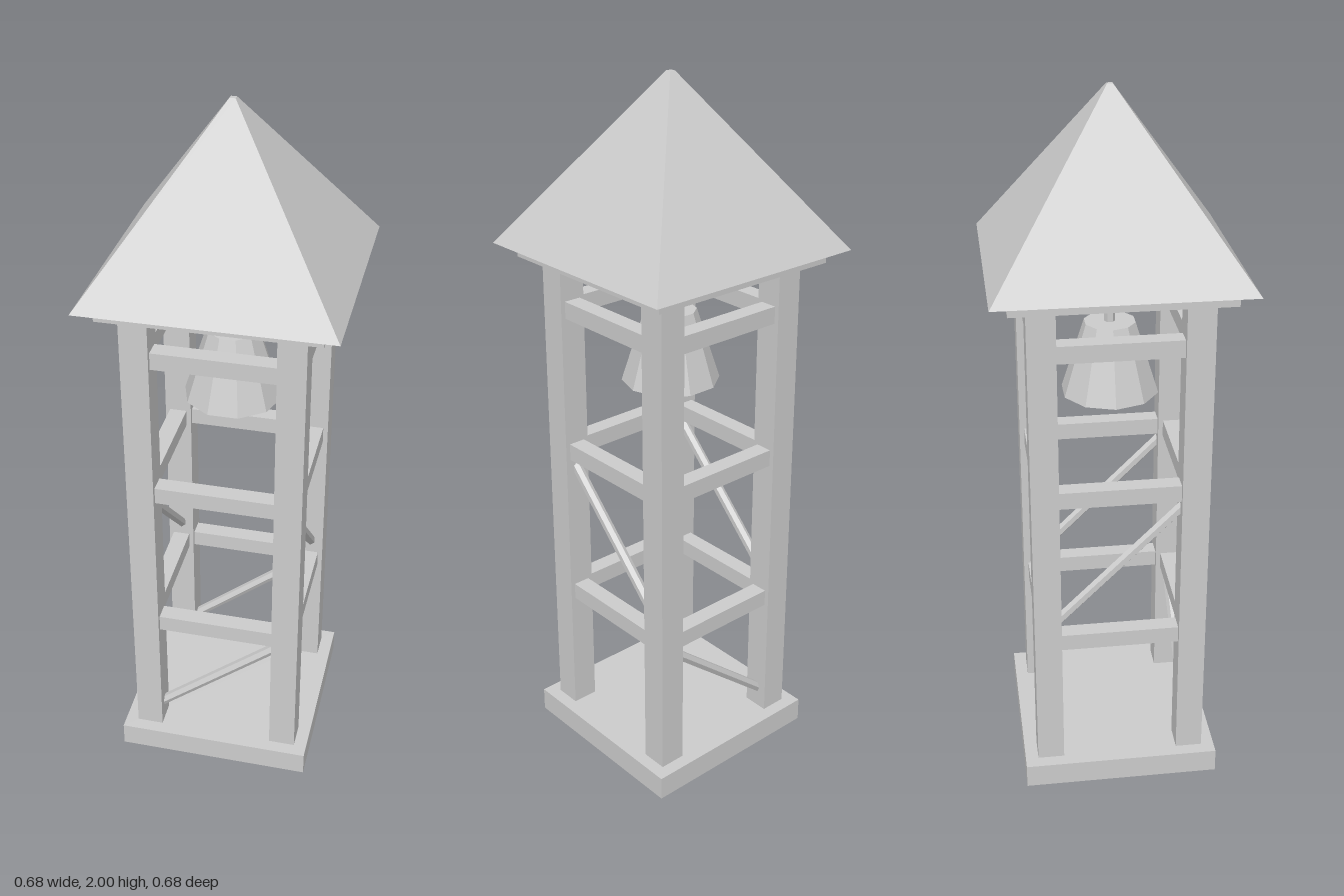
import * as THREE from 'three';

export function createModel() {
  const model = new THREE.Group();
  model.name = 'bellTower';
  const grey = new THREE.MeshStandardMaterial({ color: 0xcccccc });
  grey.name = 'plain grey';
  grey.flatShading = true;

  const add = (name, geometry, x = 0, y = 0, z = 0) => {
    const mesh = new THREE.Mesh(geometry, grey);
    mesh.name = name;
    mesh.position.set(x, y, z);
    model.add(mesh);
    return mesh;
  };
  const box = (name, w, h, d, x, y, z) => add(name, new THREE.BoxGeometry(w, h, d), x, y, z);

  // six-sided bar between two points
  const brace = (name, a, b) => {
    const dir = b.clone().sub(a);
    const mesh = add(name, new THREE.CylinderGeometry(0.015, 0.015, dir.length(), 6));
    mesh.position.copy(a).add(b).multiplyScalar(0.5);
    mesh.quaternion.setFromUnitVectors(new THREE.Vector3(0, 1, 0), dir.normalize());
  };

  const P = 0.207; // post centre offset

  // foundation slab and corner posts
  box('base', 0.566, 0.071, 0.566, 0, 0.0355, 0);
  for (const x of [-P, P]) {
    for (const z of [-P, P]) box('post', 0.077, 1.43, 0.077, x, 0.785, z);
  }

  // horizontal beams on all four sides
  for (const y of [0.47, 0.935, 1.365]) {
    for (const s of [-P, P]) {
      box('crossBeam', 0.338, 0.049, 0.05, 0, y, s);
      box('sideBeam', 0.05, 0.049, 0.338, s, y, 0);
    }
  }

  // diagonal braces: lower bay front and back, middle bay on the sides
  const V = (x, y, z) => new THREE.Vector3(x, y, z);
  for (const s of [-P, P]) {
    brace('lowerBrace', V(-0.2, 0.112, s), V(0.2, 0.442, s));
    brace('middleBrace', V(s, 0.908, 0.2), V(s, 0.51, -0.2));
  }

  // roof plate and pyramid roof with a tiny flat tip
  box('roofPlate', 0.586, 0.04, 0.586, 0, 1.52, 0);
  const roof = new THREE.CylinderGeometry(0.011, 0.339 * Math.SQRT2, 0.463, 4);
  roof.rotateY(Math.PI / 4);
  add('roof', roof, 0, 1.7685, 0);

  // bell hanging from its rod, with clapper
  add('bellRod', new THREE.CylinderGeometry(0.015, 0.015, 0.16, 6), 0, 1.43, 0);
  const bell = new THREE.CylinderGeometry(0.072, 0.137, 0.205, 10);
  bell.rotateY(Math.PI / 2);
  add('bell', bell, 0, 1.2575, 0);
  add('clapper', new THREE.IcosahedronGeometry(0.03, 1), 0, 1.13, 0);

  return model;
}
